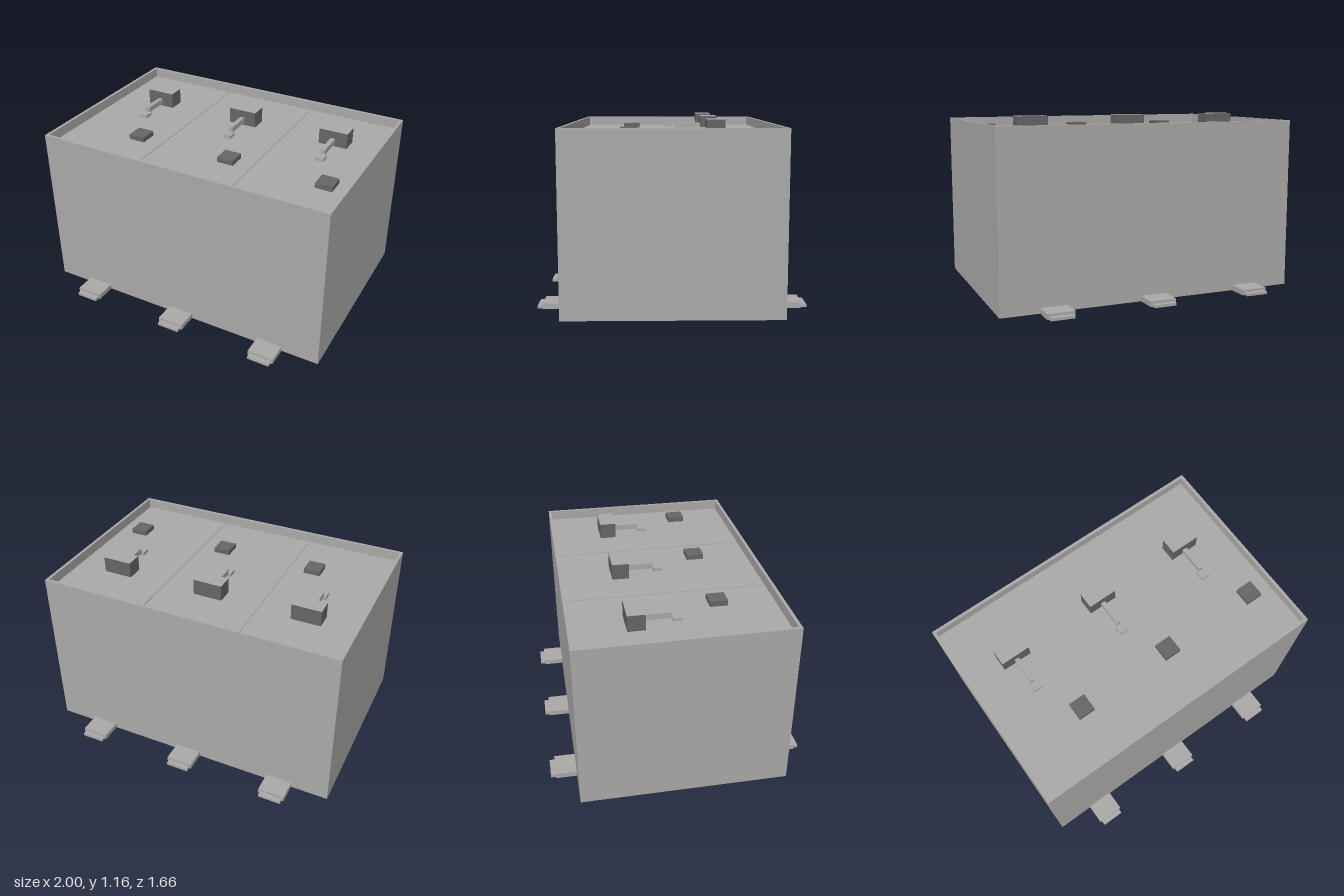
import * as THREE from 'three';

const W = 1, D = 0.665, TOP = 1.12, FLOOR = 1.055, STEP = 0.665;
const FOOT_H = 0.035, FOOT_W = 0.175;

export function createModel() {
  const model = new THREE.Group();
  model.name = 'tripleCabinet';

  const grey = new THREE.MeshStandardMaterial({ color: 0xabaaa8, side: THREE.DoubleSide });
  grey.name = 'warm grey';
  const dark = new THREE.MeshStandardMaterial({ color: 0x666667 });
  dark.name = 'dark grey';

  const add = (name, geometry, material, x, y, z, parent = model) => {
    const mesh = new THREE.Mesh(geometry, material);
    mesh.name = name;
    mesh.position.set(x, y, z);
    parent.add(mesh);
    return mesh;
  };
  // Box given by its bottom height
  const box = (name, w, h, d, x, y, z, material = grey, parent = model) =>
    add(name, new THREE.BoxGeometry(w, h, d), material, x, y + h / 2, z, parent);
  // Box without its bottom and back faces
  const hood = (name, w, h, d, z, parent) => {
    const g = new THREE.BoxGeometry(w, h, d);
    const index = Array.from(g.index.array);
    g.setIndex([...index.slice(0, 18), ...index.slice(24, 30)]);
    g.clearGroups();
    return add(name, g, grey, 0, h / 2, z, parent);
  };

  const footX = [-1, 0, 1].map((i) => i * STEP - 0.002);

  // Front and back walls, notched where the hollow feet pass through
  for (const side of [1, -1]) {
    const wall = new THREE.Shape();
    wall.moveTo(-W, 0);
    for (const x of footX.map((v) => v * side).sort((a, b) => a - b)) {
      wall.lineTo(x - FOOT_W / 2, 0);
      wall.lineTo(x - FOOT_W / 2, FOOT_H);
      wall.lineTo(x + FOOT_W / 2, FOOT_H);
      wall.lineTo(x + FOOT_W / 2, 0);
    }
    wall.lineTo(W, 0);
    wall.lineTo(W, FLOOR);
    wall.lineTo(-W, FLOOR);
    const mesh = add(side > 0 ? 'frontWall' : 'backWall', new THREE.ShapeGeometry(wall), grey, 0, 0, side * D);
    if (side < 0) mesh.rotation.y = Math.PI;

    // Side wall
    const sideWall = add(side > 0 ? 'leftWall' : 'rightWall', new THREE.PlaneGeometry(2 * D, FLOOR), grey, side * W, FLOOR / 2, 0);
    sideWall.rotation.y = side * Math.PI / 2;
  }

  // Raised rim around the recessed top
  const rect = (path, x, z) => {
    path.moveTo(-x, -z);
    path.lineTo(x, -z);
    path.lineTo(x, z);
    path.lineTo(-x, z);
    path.closePath();
    return path;
  };
  const ring = rect(new THREE.Shape(), W, D);
  ring.holes.push(rect(new THREE.Path(), W - 0.02, D - 0.02));
  const rim = add('rim', new THREE.ExtrudeGeometry(ring, { depth: TOP - FLOOR, bevelEnabled: false }), grey, 0, FLOOR, 0);
  rim.rotation.x = -Math.PI / 2;

  // Recessed top panel and its two dividing strips
  const panel = add('topPanel', new THREE.PlaneGeometry(2 * W - 0.04, 2 * D - 0.04), grey, 0, FLOOR, 0);
  panel.rotation.x = -Math.PI / 2;
  for (const x of [-0.33, 0.33]) box('divider', 0.01, 0.004, 2 * D - 0.04, x, FLOOR, 0);

  for (let i = -1; i <= 1; i++) {
    // Latch: dark-sided block with a grey top, an arm and a small catch
    const latch = new THREE.Group();
    latch.name = 'latch';
    latch.position.x = i * STEP + 0.007;
    model.add(latch);
    box('latchBlock', 0.195, 0.105, 0.11, 0, FLOOR, -0.26, [dark, dark, grey, dark, dark, dark], latch);
    box('latchArm', 0.03, 0.037, 0.175, 0, 1.073, -0.117, grey, latch);
    box('latchCatch', 0.06, 0.022, 0.06, 0, FLOOR, 0, grey, latch);

    // Dark button pad
    box('pad', 0.112, 0.033, 0.115, i * STEP + 0.165, FLOOR, 0.285, dark);

    // Hollow stepped feet, front and back
    for (const side of [1, -1]) {
      const foot = new THREE.Group();
      foot.name = side > 0 ? 'frontFoot' : 'backFoot';
      foot.position.set(footX[i + 1], 0, side * D);
      if (side < 0) foot.rotation.y = Math.PI;
      model.add(foot);
      hood('footBody', FOOT_W, FOOT_H, 0.135, 0.0675, foot);
      hood('footLip', 0.15, 0.018, 0.032, 0.151, foot);
    }
  }
  return model;
}
